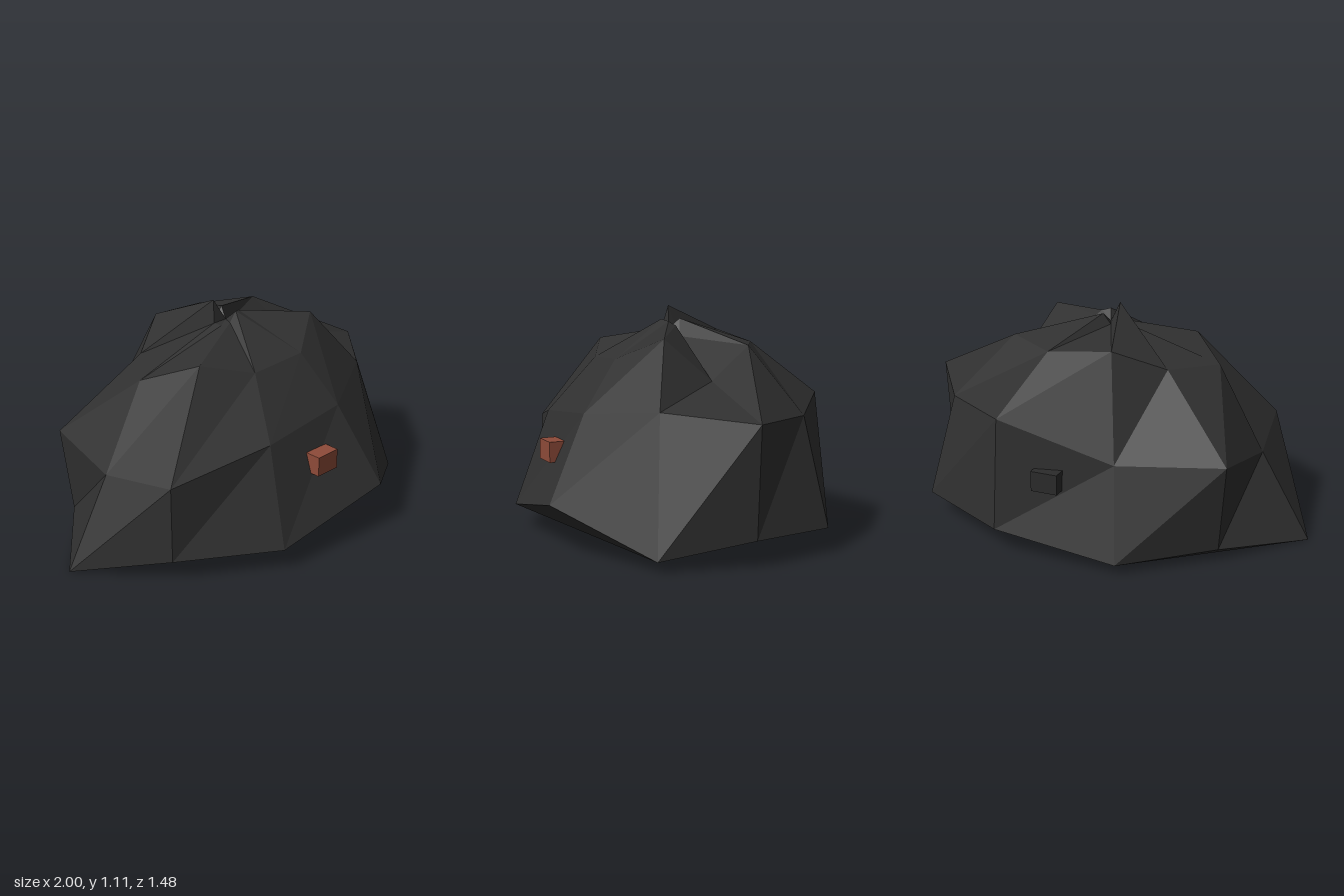
import * as THREE from 'three';

// Ten-point cross-sections [x, y, z], from the base to the crown
const base = [
  [0.97, 0.125, -0.03], [0.86, 0.05, 0.41], [0.38, 0.24, 0.735], [-0.26, 0.11, 0.68], [-0.71, 0.11, 0.385],
  [-1, 0, -0.03], [-0.66, 0.06, -0.41], [-0.26, 0.05, -0.73], [0.36, 0.125, -0.74], [0.86, 0.115, -0.47],
];
const shoulder = [
  [1, 0.655, -0.03], [0.67, 0.685, 0.31], [0.28, 0.64, 0.52], [-0.2, 0.59, 0.52], [-0.7, 0.49, 0.37],
  [-0.75, 0.43, -0.03], [-0.7, 0.5, -0.44], [-0.2, 0.49, -0.59], [0.35, 0.68, -0.7], [0.74, 0.635, -0.4],
];
const upper = [
  [0.52, 0.79, -0.03], [0.44, 0.99, 0.18], [0.21, 0.88, 0.33], [-0.09, 0.86, 0.31], [-0.33, 0.93, 0.18],
  [-0.52, 0.85, -0.03], [-0.33, 0.865, -0.24], [-0.1, 0.97, -0.38], [0.22, 0.935, -0.4], [0.47, 0.945, -0.25],
];
const crown = [
  [0.13, 1.02, -0.03], [0.11, 1.04, 0], [0.07, 1.05, 0.02], [0.03, 1.0, 0.02], [-0.01, 0.99, 0],
  [-0.03, 1.0, -0.03], [-0.01, 1.11, -0.055], [0.03, 1.0, -0.08], [0.07, 1.05, -0.08], [0.11, 0.965, -0.06],
];

function facetedMesh(name, triangles, material) {
  const geometry = new THREE.BufferGeometry();
  geometry.setAttribute('position', new THREE.Float32BufferAttribute(triangles.flat(2), 3));
  geometry.computeVertexNormals();
  const mesh = new THREE.Mesh(geometry, material);
  mesh.name = name;
  return mesh;
}

// Band of facets joining two rings
function band(lower, higher) {
  const tris = [];
  lower.forEach((a, i) => {
    const j = (i + 1) % lower.length;
    tris.push([lower[j], a, higher[i]], [lower[j], higher[i], higher[j]]);
  });
  return tris;
}

export function createModel() {
  const group = new THREE.Group();
  group.name = 'facetedDome';

  const shell = new THREE.MeshStandardMaterial({ color: 0x303030 });
  shell.name = 'charcoal';
  const rust = new THREE.MeshStandardMaterial({ color: 0x8e4b39 });
  rust.name = 'rust';
  const dark = new THREE.MeshStandardMaterial({ color: 0x2b2b2b });
  dark.name = 'darkGrey';

  // Dome walls
  group.add(facetedMesh('lowerWall', band(base, shoulder), shell));
  group.add(facetedMesh('upperWall', band(shoulder, upper), shell));
  group.add(facetedMesh('roof', band(upper, crown), shell));

  // Crown cap
  const centre = [0.05, 1.0, -0.03];
  group.add(facetedMesh('crownCap', crown.map((p, i) => [crown[(i + 1) % 10], p, centre]), shell));

  // Underside
  const floor = [[1, 2, 3], [0, 1, 3], [0, 3, 5], [3, 4, 5], [5, 6, 7], [0, 5, 7], [0, 7, 9], [7, 8, 9]];
  group.add(facetedMesh('underside', floor.map((t) => t.map((i) => base[i])), shell));

  // Small blocks on the front and back
  const block = (name, material, x, y, z) => {
    const mesh = new THREE.Mesh(new THREE.BoxGeometry(0.134, 0.1, 0.08), material);
    mesh.name = name;
    mesh.position.set(x, y, z);
    group.add(mesh);
  };
  block('frontBlock', rust, 0.077, 0.44, 0.603);
  block('backBlock', dark, 0.105, 0.4, -0.672);

  return group;
}
